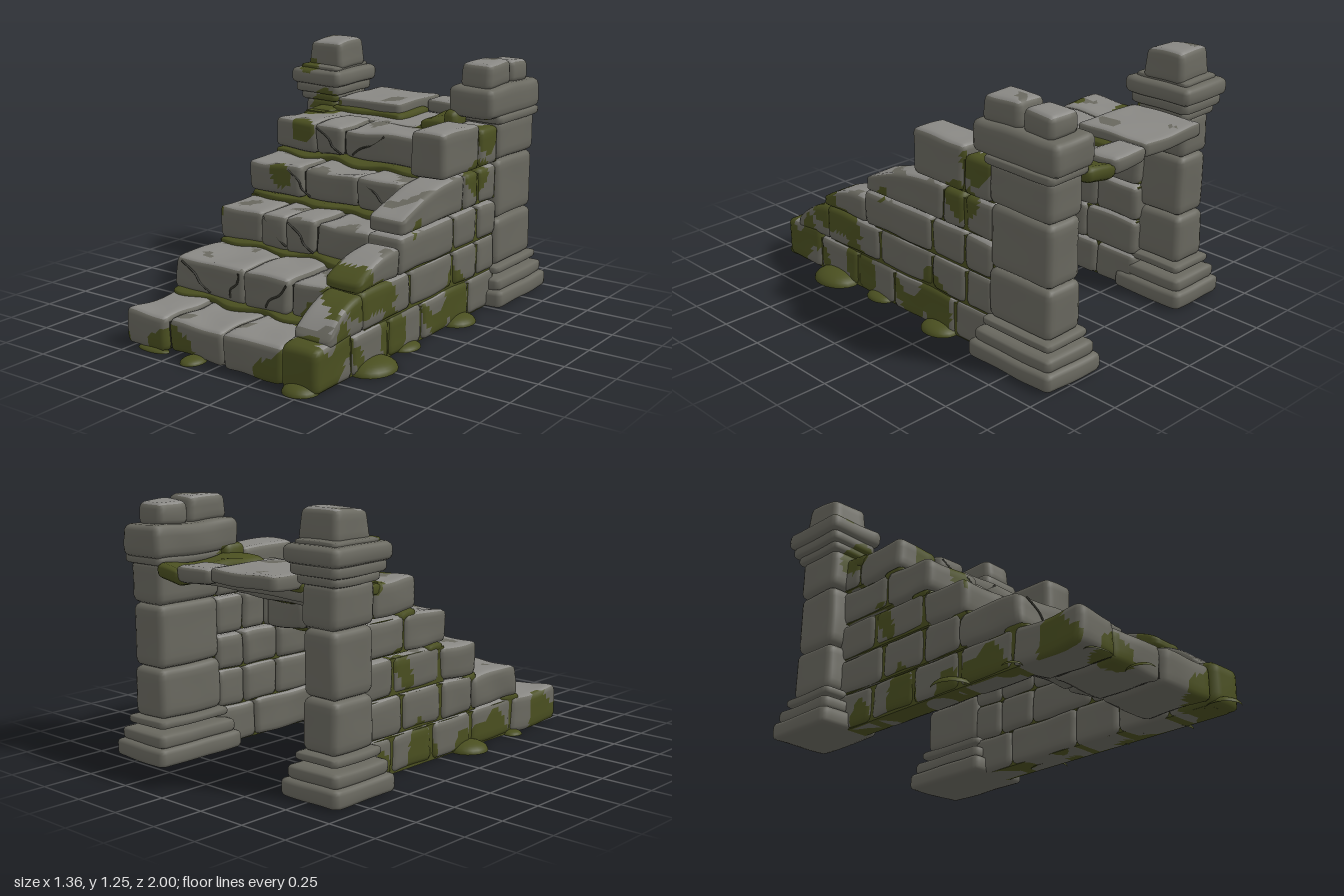
import * as THREE from 'three';
import { mergeVertices } from 'three/addons/utils/BufferGeometryUtils.js';

const mat = (name, color) => Object.assign(new THREE.MeshStandardMaterial({ color }), { name });
const stoneMat = mat('stone', 0x69685f);
const paleMat = mat('paleStone', 0x898884);
const mossMat = mat('moss', 0x4a4f20);
const darkMat = mat('crevice', 0x36362e);
const palette = [stoneMat, paleMat, mossMat];

const noise = (x, y, z) => (Math.sin(x * 17 + 2 * Math.sin(z * 9 + y * 5)) +
  Math.sin(y * 19 + 2 * Math.sin(x * 11)) + Math.sin(z * 15 + 2 * Math.sin(y * 8 + x * 4))) / 3;

// larger mossy regions: centre and radius
const mossSpots = [
  [-0.27, 0, 0.93, 0.13], [0.3, 0, 0.93, 0.1], [0.47, 0.04, 0.9, 0.17], [0.3, 0.2, 0.6, 0.08],
  [-0.37, 0.48, 0.3, 0.045], [-0.32, 0.66, 0.03, 0.06], [-0.36, 0.85, -0.18, 0.07],
  [-0.46, 0.9, -0.5, 0.11], [0.29, 0.9, -0.5, 0.11], [0.48, 0.36, 0.6, 0.13], [0.48, 0.31, 0.42, 0.13],
  [0.57, 0.7, -0.37, 0.1], [0.57, 0.88, -0.46, 0.09], [-0.58, 1.11, -0.55, 0.06],
];
// moss also climbs the outer walls in patches, thinning out with height
function isMossy(x, y, z, n) {
  if (Math.abs(x) > 0.5 && z > -0.5 && y < 0.6 && noise(x, y * 0.7, z * 1.4) > 0.1 + y * 1.3) return true;
  return mossSpots.some(([sx, sy, sz, r]) => Math.hypot(x - sx, y - sy, z - sz) < r * (1 + 0.25 * n));
}

export function createModel() {
  const model = new THREE.Group();
  model.name = 'ruinedStairs';
  const section = (name) => {
    const g = new THREE.Group();
    g.name = name;
    model.add(g);
    return g;
  };

  // worn block between two corners; its faces are sorted into stone, pale top and moss
  function block(parent, name, [x0, x1], [y0, y1], [z0, z1], opt = {}) {
    const { r = 0.03, rough = 0.006, pale = true, drop = 0, taper = 0, allMoss = false, wave = 0 } = opt;
    const size = [x1 - x0, y1 - y0, z1 - z0], half = size.map((v) => v / 2);
    const mid = new THREE.Vector3((x0 + x1) / 2, (y0 + y1) / 2, (z0 + z1) / 2);
    const rad = Math.min(r, 0.9 * Math.min(...half));
    let geo = new THREE.BoxGeometry(...size, ...size.map((v) => Math.max(4, Math.round(v / 0.027))));
    geo.deleteAttribute('uv');
    geo.deleteAttribute('normal');
    geo.clearGroups();
    geo = mergeVertices(geo);
    const pos = geo.attributes.position;
    const p = new THREE.Vector3(), q = new THREE.Vector3();
    const inner = new THREE.Vector3(...half).subScalar(rad), outer = inner.clone().negate();
    for (let i = 0; i < pos.count; i++) {
      p.fromBufferAttribute(pos, i);
      q.copy(p).clamp(outer, inner);
      p.sub(q).setLength(rad).add(q);
      const up = p.y / size[1] + 0.5, fwd = p.z / size[2] + 0.5;
      p.x *= 1 - taper * up;
      p.z *= 1 - taper * up;
      p.y -= drop * up * fwd * fwd;
      p.add(mid);
      p.x += rough * 0.6 * noise(p.x * 1.3, p.y * 1.3, p.z * 1.3);
      p.z += rough * noise(p.y, p.z, p.x) + wave * fwd * Math.sin(p.x * 21 + y0 * 30);
      p.y = Math.max(0, p.y + rough * noise(p.z, p.x, p.y));
      pos.setXYZ(i, p.x, p.y, p.z);
    }
    geo.computeVertexNormals();
    const sorted = [[], [], []], idx = geo.index.array;
    const a = new THREE.Vector3(), b = new THREE.Vector3(), c = new THREE.Vector3(), m = new THREE.Vector3();
    for (let i = 0; i < idx.length; i += 3) {
      [a, b, c].forEach((v, k) => v.fromBufferAttribute(pos, idx[i + k]));
      m.copy(a).add(b).add(c).divideScalar(3);
      const n = noise(m.x * 1.6, m.y * 1.6, m.z * 1.6);
      const ny = b.sub(a).cross(c.sub(a)).normalize().y;
      const k = allMoss || isMossy(m.x, m.y, m.z, n) ? 2 : pale && ny > 0.72 && n < 0.55 ? 1 : 0;
      sorted[k].push(idx[i], idx[i + 1], idx[i + 2]);
    }
    geo.setIndex(sorted.flat());
    let start = 0;
    sorted.forEach((list, k) => {
      if (list.length) geo.addGroup(start, list.length, k);
      start += list.length;
    });
    const mesh = new THREE.Mesh(geo, palette);
    mesh.name = name;
    parent.add(mesh);
  }
  function box(parent, name, material, [x0, x1], [y0, y1], [z0, z1]) {
    const mesh = new THREE.Mesh(new THREE.BoxGeometry(x1 - x0, y1 - y0, z1 - z0), material);
    mesh.position.set((x0 + x1) / 2, (y0 + y1) / 2, (z0 + z1) / 2);
    mesh.name = name;
    parent.add(mesh);
  }

  // steps: front edge and inner joints across; each course rises by the same amount
  const rise = 0.182;
  const steps = [
    [0.93, [-0.29, 0.035]], [0.61, [-0.1, 0.17]], [0.285, [-0.26, -0.1, 0.065]],
    [0.025, [-0.2, 0.12]], [-0.18, [-0.27, -0.1]],
  ].map(([front, joints], i) => ({
    y0: i * rise + (i > 2 ? 0.008 : 0.002), y1: (i + 1) * rise - 0.006 - i * 0.002,
    front, back: front - (i < 2 ? 0.37 : 0.29), xs: [-0.53, ...joints, 0.375],
  }));
  steps.forEach(({ y0, y1, front, back, xs }, i) => {
    const g = section('step' + (i + 1));
    for (let k = 0; k < xs.length - 1; k++) {
      const set = 0.012 * ((k * 2 + i) % 3);
      block(g, 'stepStone', [xs[k] + 0.002, xs[k + 1] - 0.002], [y0, y1 - set * 0.4], [back, front - set], { rough: 0.011, r: 0.025 });
    }
    box(g, 'stepJoint', darkMat, [-0.5, 0.37], [y0 + 0.02, y1 - 0.03], [back + 0.03, front - 0.04]);
    // moss cushion where the tread meets the next riser
    if (i < 4) {
      const next = steps[i + 1].front;
      block(g, 'stepMoss', [-0.52, 0.39], [y1 - 0.025, y1 + 0.02], [next - 0.12, next + 0.012], { allMoss: true, wave: 0.018, rough: 0.012 });
    }
    // side wall on the right, continuing the course back to the pillar
    const len = back + 0.6, count = Math.max(1, Math.round(len / 0.3));
    const joint = (j) => -0.6 + (len * j) / count + (j > 0 && j < count ? 0.04 * (i % 2 ? 1 : -1) : 0);
    for (let k = 0; k < count; k++)
      block(g, 'wallStone', [-0.53 + 0.006 * (k % 2), -0.37], [y0, y1 + 0.008], [joint(k) + 0.002, joint(k + 1) - 0.002]);
    box(g, 'wallMossBed', mossMat, [-0.515, -0.4], [y0, y1], [-0.59, back + 0.03]);
    // moss bed behind the kerb stones
    box(g, 'kerbMossBed', mossMat, [0.4, 0.552], [y0, y1 - 0.01], [-0.58, i < 4 ? front - 0.05 : -0.36]);
  });

  // landing at the top
  const landing = section('landing');
  block(landing, 'landingTread', [-0.53, 0.37], [0.84, 0.893], [-0.8, -0.43], { r: 0.015 });
  block(landing, 'landingSlab', [-0.39, 0], [0.895, 0.965], [-0.95, -0.55], { r: 0.015 });
  block(landing, 'landingStone', [0, 0.22], [0.88, 0.955], [-0.96, -0.8], { r: 0.025, rough: 0.01 });
  block(landing, 'landingMoss', [0.2, 0.37], [0.87, 0.935], [-0.96, -0.42], { allMoss: true, rough: 0.02 });
  block(landing, 'landingEdgeMoss', [-0.42, 0.03], [0.87, 0.92], [-0.8, -0.525], { allMoss: true, wave: 0.012 });
  block(landing, 'cornerMoss', [0.32, 0.4], [0.88, 0.99], [-0.56, -0.43], { allMoss: true, r: 0.04 });

  // kerb on the left: sloped front stones, then level wall courses behind them
  const kerb = section('kerbWall');
  const course = (y0, y1, drop, ...zs) => {
    for (let k = 0; k < zs.length - 1; k++)
      block(kerb, 'kerbStone', [0.375, 0.568 - 0.006 * (k % 2)], [y0, y1], [zs[k + 1] + 0.002, zs[k] - 0.002], { drop, r: 0.028 });
  };
  course(0, 0.225, 0.03, 0.935, 0.66);
  course(0, 0.19, 0, 0.66, 0.37, 0.1, -0.33, -0.58);
  course(0.19, 0.365, 0.14, 0.85, 0.57);
  course(0.19, 0.37, 0, 0.6, 0.2, -0.18, -0.4, -0.58);
  course(0.37, 0.505, 0.09, 0.62, 0.29);
  course(0.37, 0.545, 0, 0.3, -0.18, -0.4, -0.58);
  course(0.55, 0.735, 0.12, 0.285, -0.26);
  course(0.55, 0.73, 0, -0.26, -0.4, -0.58);
  course(0.735, 0.955, 0, -0.06, -0.4);
  course(0.735, 0.92, 0, -0.4, -0.58);

  // pillars: every tier is the shaft outline pushed outwards
  function pillar(name, cx, cz, hx, hz) {
    const g = section(name);
    const tier = (part, y0, y1, out, opt) => block(g, part, [cx - hx - out, cx + hx + out], [y0, y1],
      [cz - hz - out, cz + hz + out], { pale: false, r: 0.022, rough: 0.004, ...opt });
    [0.065, 0.045, 0.022].forEach((out, i) => tier('plinth', i * 0.08, 0.085 + i * 0.06, out));
    const cuts = [0.2, 0.44, 0.74, 0.94];
    for (let i = 0; i < 3; i++) tier('shaft', cuts[i], cuts[i + 1], -0.004 * (i % 2), { r: 0.035 });
    return { g, tier };
  }
  const right = pillar('rightPillar', -0.517, -0.695, 0.1, 0.13);
  right.tier('neck', 0.925, 0.975, 0.015);
  right.tier('neckUpper', 0.965, 1.025, 0.035);
  right.tier('cap', 1.015, 1.1, 0.056, { r: 0.03 });
  right.tier('capSeat', 1.09, 1.12, 0.015);
  block(right.g, 'crownStone', [-0.615, -0.395], [1.1, 1.25], [-0.815, -0.585], { taper: 0.12, drop: 0.015, r: 0.025 });
  const left = pillar('leftPillar', 0.471, -0.748, 0.105, 0.185);
  left.tier('neck', 0.92, 0.97, 0.015);
  block(left.g, 'cap', [0.335, 0.583], [0.955, 1.11], [-0.968, -0.465], { pale: false, r: 0.035 });
  block(left.g, 'crownFront', [0.38, 0.555], [1.1, 1.222], [-0.725, -0.5], { taper: 0.06 });
  block(left.g, 'crownBack', [0.375, 0.55], [1.1, 1.208], [-0.91, -0.73], { taper: 0.05 });

  // kinked cracks down the step fronts: step, start x, end x
  const cracks = section('cracks');
  [[1, -0.48, -0.32], [1, -0.13, -0.2], [1, 0.16, 0.02], [2, -0.24, -0.12], [2, -0.08, 0.05],
    [3, -0.28, -0.16], [3, 0.15, 0.32], [4, -0.25, -0.12], [4, 0.14, -0.07]].forEach(([s, xa, xb]) => {
    const { y0, y1, front, xs } = steps[s];
    const k = xs.findIndex((x) => x > (xa + xb) / 2) - 1;
    const z = front - 0.012 * ((k * 2 + s) % 3);
    const points = [0, 0.4, 0.7, 1].map((t, j) => new THREE.Vector3(
      xa + (xb - xa) * t + (j % 2) * 0.02, y1 - 0.025 + (y0 + 0.045 - y1) * t, z));
    const tube = new THREE.Mesh(new THREE.TubeGeometry(new THREE.CatmullRomCurve3(points), 16, 0.005, 5), darkMat);
    tube.name = 'crack';
    cracks.add(tube);
  });

  // moss cushions on the ground
  const cushions = section('groundMoss');
  const cushion = (x, z, rx, rz) => {
    const mesh = new THREE.Mesh(new THREE.SphereGeometry(1, 20, 8, 0, Math.PI * 2, 0, Math.PI / 2), mossMat);
    mesh.scale.set(rx, 0.5 * Math.min(rx, rz), rz);
    mesh.position.set(x, 0, z);
    mesh.name = 'mossCushion';
    cushions.add(mesh);
  };
  cushion(0.57, 0.52, 0.11, 0.13);
  cushion(0.55, 0.21, 0.06, 0.08);
  cushion(0.56, -0.23, 0.085, 0.1);
  cushion(0.47, 0.91, 0.085, 0.085);
  cushion(-0.13, 0.92, 0.055, 0.07);
  cushion(-0.53, 0.2, 0.095, 0.1);
  cushion(-0.53, 0.56, 0.045, 0.05);
  cushion(-0.38, 0.91, 0.09, 0.04);
  return model;
}
